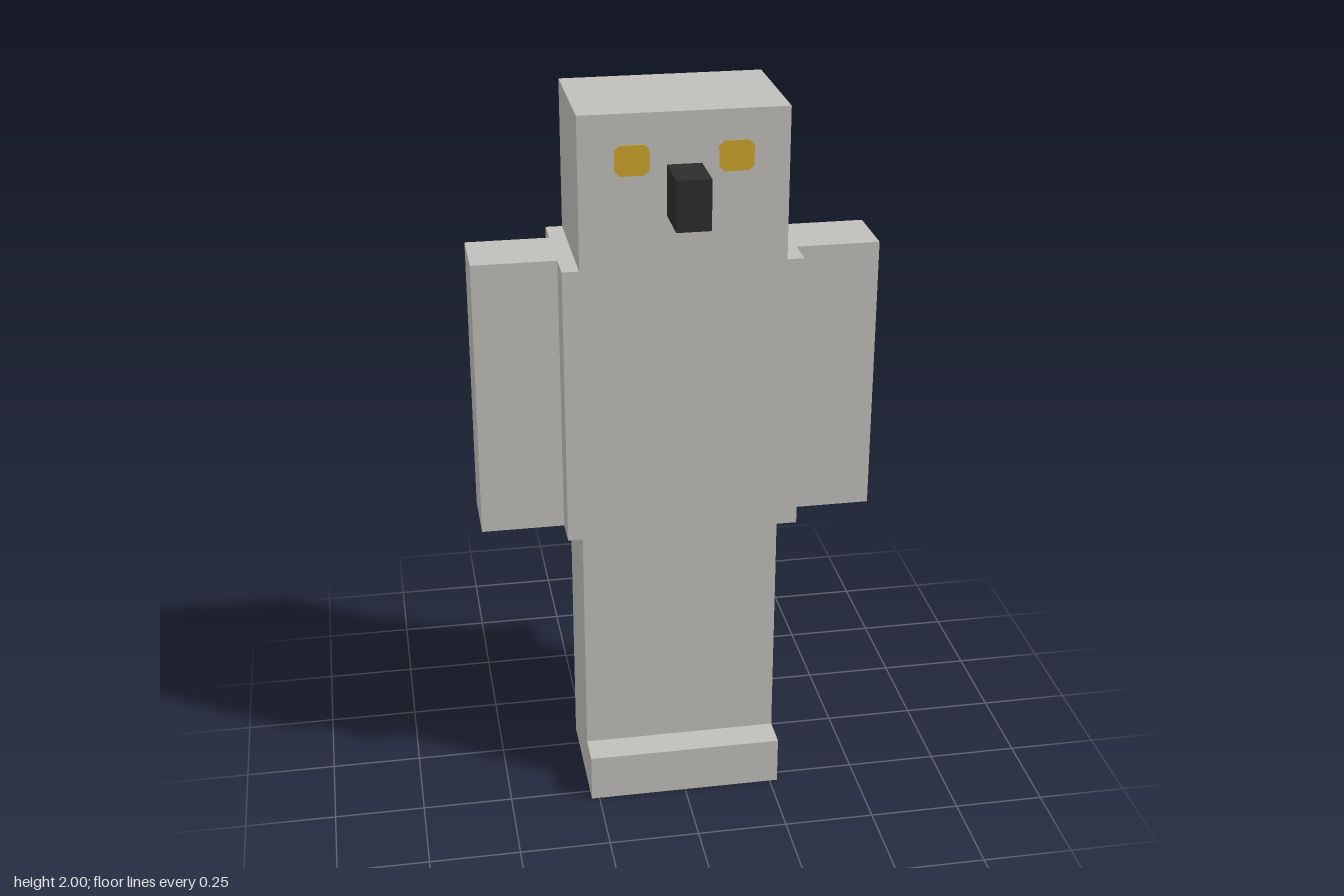
import * as THREE from 'three';

const material = (name, color) => {
  const m = new THREE.MeshStandardMaterial({ color });
  m.name = name;
  return m;
};

export function createModel() {
  const group = new THREE.Group();
  const grey = material('feather grey', 0xc0bfba);
  const black = material('beak black', 0x2d2d2d);
  const amber = material('eye amber', 0xcca42b);

  const add = (name, geometry, mat) => {
    const mesh = new THREE.Mesh(geometry, mat);
    mesh.name = name;
    group.add(mesh);
    return mesh;
  };
  // Box given by its extents on each axis
  const box = (name, [x0, x1], [y0, y1], [z0, z1], mat) =>
    add(name, new THREE.BoxGeometry(x1 - x0, y1 - y0, z1 - z0), mat)
      .position.set((x0 + x1) / 2, (y0 + y1) / 2, (z0 + z1) / 2);

  box('head', [-0.272, 0.272], [1.593, 2], [-0.12, 0.24], grey);
  box('body', [-0.317, 0.317], [0.82, 1.593], [-0.12, 0.24], grey);
  box('beak', [-0.045, 0.045], [1.73, 1.864], [0.24, 0.377], black);

  // Legs and feet: one L-shaped side profile swept across the width
  const profile = new THREE.Shape([
    [0.075, 0], [0.075, 0.82], [-0.197, 0.82], [-0.197, 0.136], [-0.287, 0.136], [-0.287, 0],
  ].map(([x, y]) => new THREE.Vector2(x, y)));
  const legs = new THREE.ExtrudeGeometry(profile, { depth: 0.544, bevelEnabled: false });
  legs.translate(0, 0, -0.272).rotateY(Math.PI / 2);
  add('legsAndFeet', legs, grey);

  // Tail slopes down and back
  const tail = add('tail', new THREE.BoxGeometry(0.363, 0.087, 0.315), grey);
  tail.position.set(0, 0.844, -0.233);
  tail.rotation.x = -Math.PI / 4;

  // Eye plate with clipped corners
  const w = 0.045, h = 0.04, c = 0.014;
  const eyeShape = new THREE.Shape([
    [w, h - c], [w - c, h], [c - w, h], [-w, h - c],
    [-w, c - h], [c - w, -h], [w - c, -h], [w, c - h],
  ].map(([x, y]) => new THREE.Vector2(x, y)));
  const eyeGeometry = new THREE.ExtrudeGeometry(eyeShape, { depth: 0.004, bevelEnabled: false });

  for (const [side, s] of [['left', 1], ['right', -1]]) {
    const xs = [0.317 * s, 0.543 * s].sort((a, b) => a - b);
    box(side + 'Wing', xs, [0.82, 1.593], [-0.032, 0.15], grey);
    add(side + 'Eye', eyeGeometry, amber).position.set(0.134 * s, 1.879, 0.239);
  }
  return group;
}
